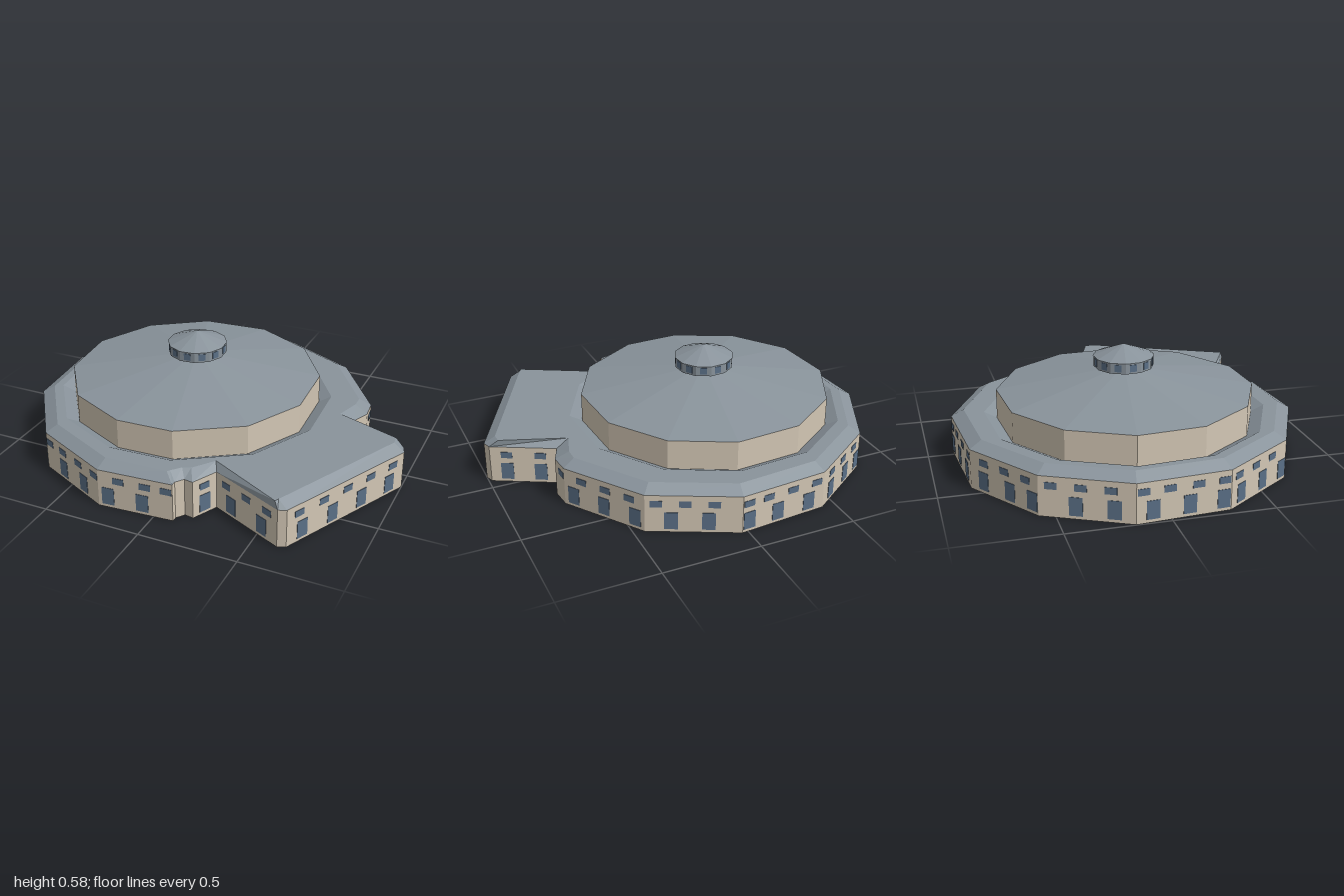
import * as THREE from 'three';

const mat = (color) => new THREE.MeshStandardMaterial({ color, flatShading: true });
const WALL = mat(0xd2c6b4), ROOF = mat(0x89939b), GLASS = mat(0x5a6f86);

// Shape in the ground plane from [x, z] points
const toShape = (pts) => new THREE.Shape(pts.map(([x, z]) => new THREE.Vector2(x, -z)));

// Faceted band joining two matching loops of [x, z] points at two heights
function strip(a, ya, b, yb) {
  const v = [];
  const tri = (...corners) => corners.forEach(([p, y]) => v.push(p[0], y, p[1]));
  a.forEach((p, i) => {
    const j = (i + 1) % a.length;
    tri([p, ya], [a[j], ya], [b[j], yb]);
    if (b[i] !== b[j]) tri([p, ya], [b[j], yb], [b[i], yb]);
  });
  const g = new THREE.BufferGeometry();
  g.setAttribute('position', new THREE.Float32BufferAttribute(v, 3));
  g.computeVertexNormals();
  return g;
}

const scaleAbout = (pts, cx, s) => pts.map(([x, z]) => [cx + (x - cx) * s, z * s]);

export function createModel() {
  const model = new THREE.Group();
  const add = (name, geometry, material, parent = model) => {
    const m = new THREE.Mesh(geometry, material);
    m.name = name;
    parent.add(m);
    return m;
  };

  // Ground-floor plan: twelve-sided ring, small notch, square wing
  const ringFront = [[-0.963, 0.29], [-0.70, 0.668], [-0.285, 0.864]];
  const ringBack = [[0.71, -0.288], [0.446, -0.67], [0.03, -0.87], [-0.43, -0.832], [-0.80, -0.575], [-0.997, -0.17]];
  const wing = [ // outer x, z, then the matching point on the roof edge
    [0.10, 0.837, 0.05, 0.79], [0.10, 0.81, 0.06, 0.775], [0.13, 0.77, 0.10, 0.73],
    [0.176, 0.778, 0.14, 0.715], [0.24, 0.65, 0.22, 0.61], [0.62, 0.826, 0.60, 0.81],
    [0.66, 0.81, 0.61, 0.79], [1.0, 0.11, 0.943, 0.10], [0.985, 0.067, 0.94, 0.05],
    [0.68, -0.09, 0.61, -0.07], [0.72, -0.185, 0.65, -0.2],
  ];
  const outer = [...ringFront, ...wing.map((p) => [p[0], p[1]]), ...ringBack];
  const inner = [
    ...scaleAbout(ringFront, -0.127, 0.927),
    ...wing.map((p) => [p[2], p[3]]),
    ...scaleAbout(ringBack, -0.127, 0.927),
  ];

  const base = new THREE.ExtrudeGeometry(toShape(outer), { depth: 0.2, bevelEnabled: false });
  add('groundFloorWalls', base.rotateX(-Math.PI / 2), WALL);

  // Drum plan, in the same walking order
  const drum = [
    [-0.80, 0.22], [-0.604, 0.5], [-0.294, 0.645], [0.0, 0.632], [0.31, 0.438], [0.463, 0.138],
    [0.444, -0.21], [0.25, -0.495], [-0.053, -0.645], [-0.40, -0.62], [-0.68, -0.425], [-0.828, -0.12],
  ];
  const hole = scaleAbout(drum, -0.175, 1.1);

  // Lower roof: outer slope, flat ring, inner slope down to the drum
  add('lowerRoofSlope', strip(outer, 0.2, inner, 0.235), ROOF);
  const flat = toShape(inner);
  flat.holes.push(toShape(hole));
  add('lowerRoofTop', new THREE.ShapeGeometry(flat).rotateX(-Math.PI / 2).translate(0, 0.235, 0), ROOF);
  add('lowerRoofInnerSlope', strip(hole, 0.235, drum, 0.201), ROOF);

  // Drum and its shallow roof
  add('drumWall', strip(drum, 0.2, drum.map((p) => [...p]), 0.355), WALL);
  const apex = [-0.172, -0.005];
  add('drumRoof', strip(drum, 0.355, drum.map(() => apex), 0.47), ROOF);

  // Lantern on the apex
  const lantern = new THREE.Group();
  lantern.name = 'lantern';
  lantern.position.set(-0.172, 0, -0.008);
  lantern.rotation.y = THREE.MathUtils.degToRad(-10.5);
  model.add(lantern);
  add('lanternWall', new THREE.CylinderGeometry(0.152, 0.152, 0.055, 12).translate(0, 0.4975, 0), ROOF, lantern);
  add('lanternRoof', new THREE.ConeGeometry(0.156, 0.06, 12).translate(0, 0.555, 0), ROOF, lantern);
  for (let i = 0; i < 12; i++) {
    const pane = new THREE.BoxGeometry(0.036, 0.036, 0.004).translate(0, 0.498, 0.147);
    add('lanternWindow', pane.rotateY(((i + 0.5) * Math.PI) / 6), GLASS, lantern);
  }

  // Two rows of windows, evenly spaced along the walls
  const rows = [
    { name: 'lowerWindow', y: 0.062, w: 0.064, h: 0.092, step: 0.178, start: 0.08 },
    { name: 'upperWindow', y: 0.154, w: 0.058, h: 0.034, step: 0.138, start: 0.06 },
  ];
  for (const row of rows) {
    let along = 0;
    outer.forEach(([x, z], i) => {
      const [x2, z2] = outer[(i + 1) % outer.length];
      const len = Math.hypot(x2 - x, z2 - z), dx = (x2 - x) / len, dz = (z2 - z) / len;
      const place = (t) => {
        const m = add(row.name, new THREE.BoxGeometry(row.w, row.h, 0.004), GLASS);
        m.position.set(x + dx * t, row.y, z + dz * t);
        m.rotation.y = Math.atan2(-dz, dx);
        m.rotation.y = Math.atan2(-dz, dx);
      };
      const inWing = i >= 3 && i < 13;
      if (inWing && len > 0.12) {
        const n = Math.max(1, Math.round(len / (row.step * 1.15)));
        for (let k = 0; k < n; k++) place(((k + 0.5) * len) / n);
      } else if (!inWing) {
        const first = Math.ceil((along - row.start) / row.step);
        for (let s = row.start + first * row.step; s < along + len; s += row.step) {
          place(THREE.MathUtils.clamp(s - along, row.w / 2 + 0.005, len - row.w / 2 - 0.005));
        }
      }
      along += len;
    });
  }
  return model;
}
